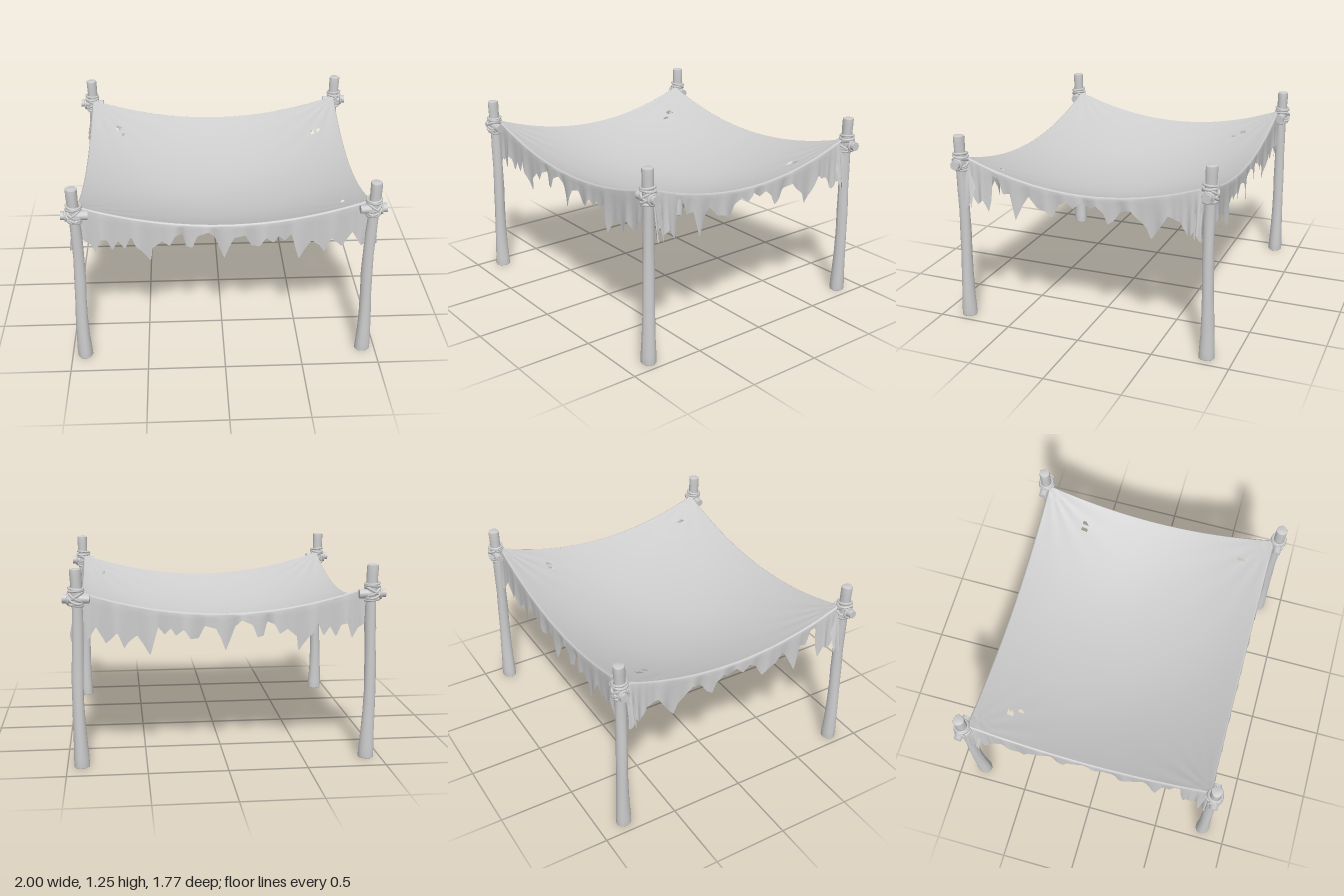
import * as THREE from 'three';

const W = 0.9, D = 0.795, POST_X = 0.915, POST_Z = 0.83;

// Ragged hem outlines: position along the edge, height
const FRONT_HEM = [
  -0.92, 0.8, -0.88, 0.88, -0.84, 0.85, -0.8, 0.78, -0.77, 0.88, -0.73, 0.87, -0.7, 0.79, -0.66, 0.86, -0.62, 0.8,
  -0.58, 0.89, -0.55, 0.82, -0.52, 0.79, -0.46, 0.7, -0.45, 0.8, -0.39, 0.85, -0.34, 0.82, -0.31, 0.88, -0.26, 0.9,
  -0.24, 0.81, -0.2, 0.8, -0.17, 0.88, -0.1, 0.91, -0.06, 0.87, -0.03, 0.79, 0, 0.72, 0.03, 0.8, 0.06, 0.86,
  0.13, 0.88, 0.17, 0.8, 0.22, 0.8, 0.26, 0.86, 0.31, 0.82, 0.34, 0.87, 0.38, 0.83, 0.42, 0.88, 0.47, 0.7,
  0.51, 0.77, 0.55, 0.83, 0.6, 0.79, 0.63, 0.75, 0.67, 0.85, 0.74, 0.78, 0.8, 0.89, 0.86, 0.79, 0.92, 0.86];
const SIDE_HEM = [
  -0.82, 0.82, -0.78, 0.77, -0.75, 0.85, -0.7, 0.78, -0.65, 0.87, -0.57, 0.9, -0.51, 0.8, -0.46, 0.73, -0.43, 0.81,
  -0.38, 0.85, -0.33, 0.9, -0.26, 0.88, -0.22, 0.82, -0.18, 0.79, -0.15, 0.86, -0.1, 0.9, -0.06, 0.87, 0, 0.91,
  0.05, 0.86, 0.1, 0.9, 0.15, 0.87, 0.2, 0.78, 0.24, 0.82, 0.3, 0.83, 0.36, 0.9, 0.4, 0.84, 0.45, 0.73,
  0.49, 0.9, 0.54, 0.89, 0.57, 0.99, 0.61, 1.03, 0.62, 0.86, 0.64, 0.76, 0.68, 0.84, 0.72, 0.8, 0.75, 0.87, 0.78, 0.78, 0.82, 0.83];

function hemAt(hem, p) {
  let i = 0;
  while (i < hem.length - 4 && hem[i + 2] < p) i += 2;
  const t = THREE.MathUtils.clamp((p - hem[i]) / (hem[i + 2] - hem[i]), 0, 1);
  return hem[i + 1] + (hem[i + 3] - hem[i + 1]) * t;
}

// Sheet of nu x nv cells; point(a, b) with a, b in 0..1; keep() may drop triangles
function sheet(nu, nv, point, keep = () => true) {
  const pos = [], index = [];
  for (let j = 0; j <= nv; j++) for (let i = 0; i <= nu; i++) pos.push(...point(i / nu, j / nv));
  const tri = (...t) => {
    const x = t.reduce((s, k) => s + pos[k * 3], 0) / 3, z = t.reduce((s, k) => s + pos[k * 3 + 2], 0) / 3;
    if (keep(x, z)) index.push(...t);
  };
  for (let j = 0; j < nv; j++) for (let i = 0; i < nu; i++) {
    const a = j * (nu + 1) + i, b = a + nu + 1;
    tri(a, b, a + 1);
    tri(a + 1, b, b + 1);
  }
  const g = new THREE.BufferGeometry();
  g.setAttribute('position', new THREE.Float32BufferAttribute(pos, 3));
  g.setIndex(index);
  g.computeVertexNormals();
  return g;
}

// Sagging cloth height with folds radiating from the tied corners
function clothY(x, z) {
  const u = x / W, v = z / D, u2 = u * u, v2 = v * v;
  const dx = W - Math.abs(x), dz = D - Math.abs(z), d = Math.hypot(dx, dz);
  const fold = 0.006 * Math.sin(Math.atan2(dz, dx) * 16) * Math.exp(-d / 0.18) * Math.min(1, d / 0.06);
  const ripple = 0.003 * Math.sin(5 * x + 2 * z) * Math.sin(7 * z - x) * (1 - u2) * (1 - v2);
  return 0.77 + 0.185 * (u2 + v2) - 0.03 * u2 * v2 + fold + ripple;
}

export function createModel() {
  const model = new THREE.Group();
  const grey = new THREE.MeshStandardMaterial({ color: 0xcccccc, side: THREE.DoubleSide });
  grey.name = 'light grey';
  const add = (name, geometry, parent = model) => {
    const mesh = new THREE.Mesh(geometry, grey);
    mesh.name = name;
    parent.add(mesh);
    return mesh;
  };

  // Canopy with a few small tears
  const tears = [[-0.71, -0.58], [-0.67, -0.53], [0.715, -0.5], [0.755, -0.51], [0.76, 0.615]];
  add('canopy', sheet(84, 76, (a, b) => {
    const x = (a * 2 - 1) * W, z = (b * 2 - 1) * D;
    return [x, clothY(x, z), z];
  }, (x, z) => !tears.some(([tx, tz]) => Math.abs(x - tx) < 0.012 && Math.abs(z - tz) < 0.02)));

  // Ragged hanging edges, rolled over the canopy rim
  const skirt = (name, hem, alongX, sign) => {
    const half = alongX ? W : D, edge = alongX ? D : W, rows = 7;
    add(name, sheet(240, rows, (a, b) => {
      const p = (a * 2 - 1) * half, k = Math.round(b * rows);
      const top = alongX ? clothY(p, sign * edge) : clothY(sign * edge, p);
      const bottom = Math.min(hemAt(hem, p), top - 0.04);
      const corner = Math.exp(-(half - Math.abs(p)) / 0.07);
      const t = Math.max(0, (k - 2) / (rows - 2));
      const roll = [0, 0.007, 0.011][Math.min(k, 2)], drop = [0, 0.003, 0.012][Math.min(k, 2)];
      const wave = t * (0.006 * Math.sin(p * 31) + 0.004 * Math.sin(p * 57 + 1));
      const flare = t * corner * (alongX ? 0.012 : 0.04) * (1 + 0.5 * Math.sin(p * 130));
      const out = sign * (edge + roll + wave + flare);
      const y = THREE.MathUtils.lerp(top - drop, bottom, t);
      return alongX ? [p, y, out] : [out, y, p];
    }));
  };
  skirt('frontSkirt', FRONT_HEM, true, 1);
  skirt('backSkirt', FRONT_HEM, true, -1);
  skirt('leftSkirt', SIDE_HEM, false, 1);
  skirt('rightSkirt', SIDE_HEM, false, -1);

  // Rough wooden post: lathed outline, then bent slightly
  const outline = [[0, 0], [0.046, 0], [0.049, 0.004], [0.048, 0.06], [0.043, 0.16], [0.039, 0.3], [0.036, 0.45], [0.037, 0.6],
    [0.034, 0.75], [0.035, 0.9], [0.033, 1.0], [0.034, 1.12], [0.036, 1.2], [0.036, 1.248], [0.033, 1.253], [0, 1.255]]
    .map(([r, y]) => new THREE.Vector2(r, y));
  const postGeometry = (seed) => {
    const g = new THREE.LatheGeometry(outline, 18), p = g.attributes.position;
    for (let i = 0; i < p.count; i++) {
      const x = p.getX(i), y = p.getY(i), z = p.getZ(i);
      const lump = 1 + 0.05 * Math.sin(3 * Math.atan2(z, x) + y * 6 + seed);
      p.setX(i, x * lump + 0.005 * Math.sin(y * 6 + seed));
      p.setZ(i, z * lump + 0.004 * Math.sin(y * 5 + seed * 2));
    }
    g.computeVertexNormals();
    return g;
  };

  // Rope turns: height, tilt about x, tilt about z, radius
  const turns = [[1.135, 0.08, 0.1, 0.043], [1.118, -0.1, -0.06, 0.045], [1.085, 0.25, 0.6, 0.05],
    [1.08, -0.2, -0.6, 0.05], [1.07, 0.5, 0.45, 0.052], [1.045, 0.1, -0.12, 0.043], [1.03, -0.08, 0.1, 0.042]];

  let seed = 0;
  for (const sx of [-1, 1]) for (const sz of [-1, 1]) {
    const corner = new THREE.Group();
    corner.name = (sz > 0 ? 'front' : 'back') + (sx > 0 ? 'Left' : 'Right') + 'Corner';
    corner.position.set(sx * POST_X, 0, sz * POST_Z);
    model.add(corner);
    add('post', postGeometry(seed += 1.7), corner);

    // Cross peg
    const peg = add('peg', new THREE.CylinderGeometry(0.026, 0.029, 0.165, 12), corner);
    peg.position.set(sx * 0.0, 1.07, sz * 0.004);
    peg.rotation.set(0, sz * 0.06, Math.PI / 2 + sx * 0.04);

    // Lashing
    for (const [y, rx, rz, r] of turns) {
      const ring = new THREE.Group();
      ring.name = 'ropeTurn';
      ring.position.y = y;
      ring.rotation.set(rx * sz, 0, rz * sx);
      add('rope', new THREE.TorusGeometry(r, 0.008, 7, 24).rotateX(Math.PI / 2), ring);
      corner.add(ring);
    }
    const loop = add('pegRope', new THREE.TorusGeometry(0.032, 0.008, 7, 18).rotateY(Math.PI / 2), corner);
    loop.position.set(sx * 0.05, 1.07, 0);

    // Loose cloth tail beside the post
    add('clothTail', sheet(8, 6, (a, b) => {
      const low = [0.84, 0.79, 0.86, 0.8, 0.9, 0.82, 0.78, 0.87, 0.92][Math.round(a * 8)];
      const spread = 0.3 + 0.7 * b;
      return [sx * (0.04 * Math.cos(a * 9) * b * 0.5 + 0.025 * b), THREE.MathUtils.lerp(1.06, low, b),
        sz * (-0.03 - 0.07 * a * spread)];
    }), corner);
  }
  return model;
}
